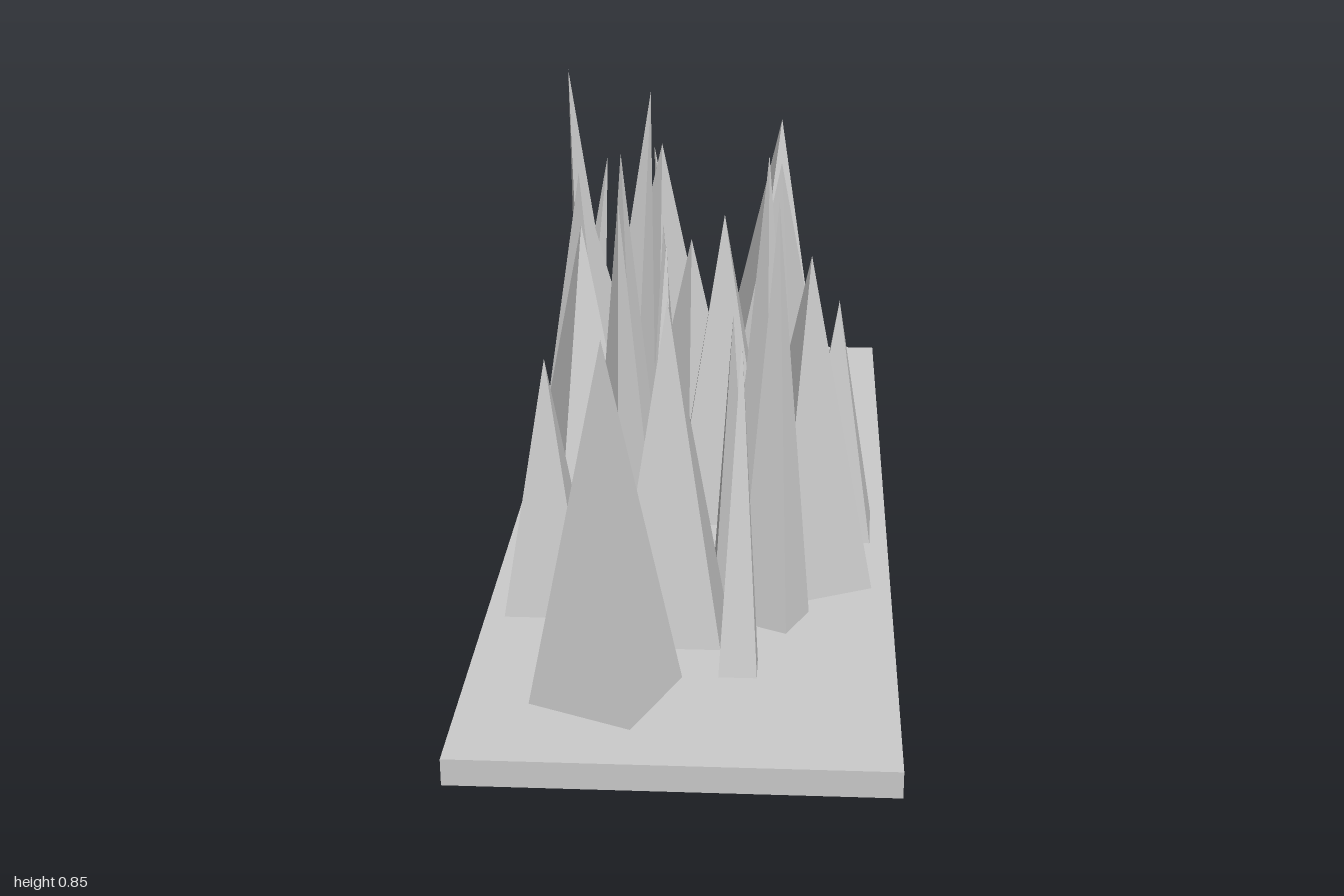
import * as THREE from 'three';

// Spike families: shared height and base side; each row is
// base centre x, z, turn in degrees, tip x, z
const FAMILIES = [
  { name: 'largeSpike', height: 0.675, side: 0.2, rows: [
    [0.125, -0.675, -21, 0.15, -0.69],
    [-0.235, -0.235, 30, -0.27, -0.205],
    [0.15, -0.28, 25, 0.155, -0.31],
    [-0.225, 0.195, -27, -0.225, 0.165],
    [0.215, 0.295, -25, 0.22, 0.335],
    [-0.13, 0.76, 23, -0.125, 0.8],
  ] },
  { name: 'broadSpike', height: 0.645, side: 0.2, rows: [
    [-0.13, -0.585, 43, -0.12, -0.57],
    [0.045, -0.025, 0, 0.045, -0.02],
    [-0.035, 0.505, 0, -0.035, 0.51],
  ] },
  { name: 'lowSpike', height: 0.495, side: 0.153, rows: [
    [-0.04, -0.345, 46, -0.04, -0.33],
    [0.275, 0.065, 2, 0.278, 0.065],
    [-0.272, 0.42, 0, -0.27, 0.42],
  ] },
  { name: 'tallSpike', height: 0.795, side: 0.1, rows: [
    [-0.285, -0.71, -13, -0.34, -0.65],
    [-0.195, -0.395, 24, -0.135, -0.44],
    [-0.152, -0.01, 28, -0.155, 0.075],
    [0.13, 0.14, 36, 0.135, 0.075],
    [-0.135, 0.335, -40, -0.13, 0.41],
    [0.16, 0.47, 25, 0.16, 0.4],
  ] },
  { name: 'thinSpike', height: 0.6, side: 0.069, rows: [
    [-0.31, -0.57, 44, -0.25, -0.62],
    [-0.092, -0.785, 46, -0.15, -0.725],
    [-0.088, -0.205, 4, -0.085, -0.1],
    [-0.075, 0.12, 0, -0.07, 0.025],
    [0.075, 0.35, -5, 0.08, 0.45],
    [0.1, 0.67, 0, 0.1, 0.58],
  ] },
];

const BASE_HEIGHT = 0.05;

// Four-sided pyramid whose tip is sheared away from its base centre
function leaningSpike(height, side, [x, z, turn, tipX, tipZ]) {
  const geo = new THREE.ConeGeometry(side / Math.SQRT2, height, 4, 1);
  geo.rotateY(Math.PI / 4 - THREE.MathUtils.degToRad(turn));
  geo.translate(0, height / 2, 0);
  const p = geo.attributes.position;
  for (let i = 0; i < p.count; i++) {
    const t = p.getY(i) / height;
    p.setX(i, p.getX(i) + (tipX - x) * t);
    p.setZ(i, p.getZ(i) + (tipZ - z) * t);
  }
  geo.computeVertexNormals();
  geo.translate(x, BASE_HEIGHT, z);
  return geo;
}

export function createModel() {
  const model = new THREE.Group();
  model.name = 'spikeTrap';
  const material = new THREE.MeshStandardMaterial({ color: 0xcccccc, flatShading: true });

  // Flat slab
  const slab = new THREE.Mesh(new THREE.BoxGeometry(0.77, BASE_HEIGHT, 2), material);
  slab.name = 'baseSlab';
  slab.position.y = BASE_HEIGHT / 2;
  model.add(slab);

  // Spikes
  for (const { name, height, side, rows } of FAMILIES) {
    const group = new THREE.Group();
    group.name = name + 's';
    for (const row of rows) {
      const spike = new THREE.Mesh(leaningSpike(height, side, row), material);
      spike.name = name;
      group.add(spike);
    }
    model.add(group);
  }
  return model;
}
